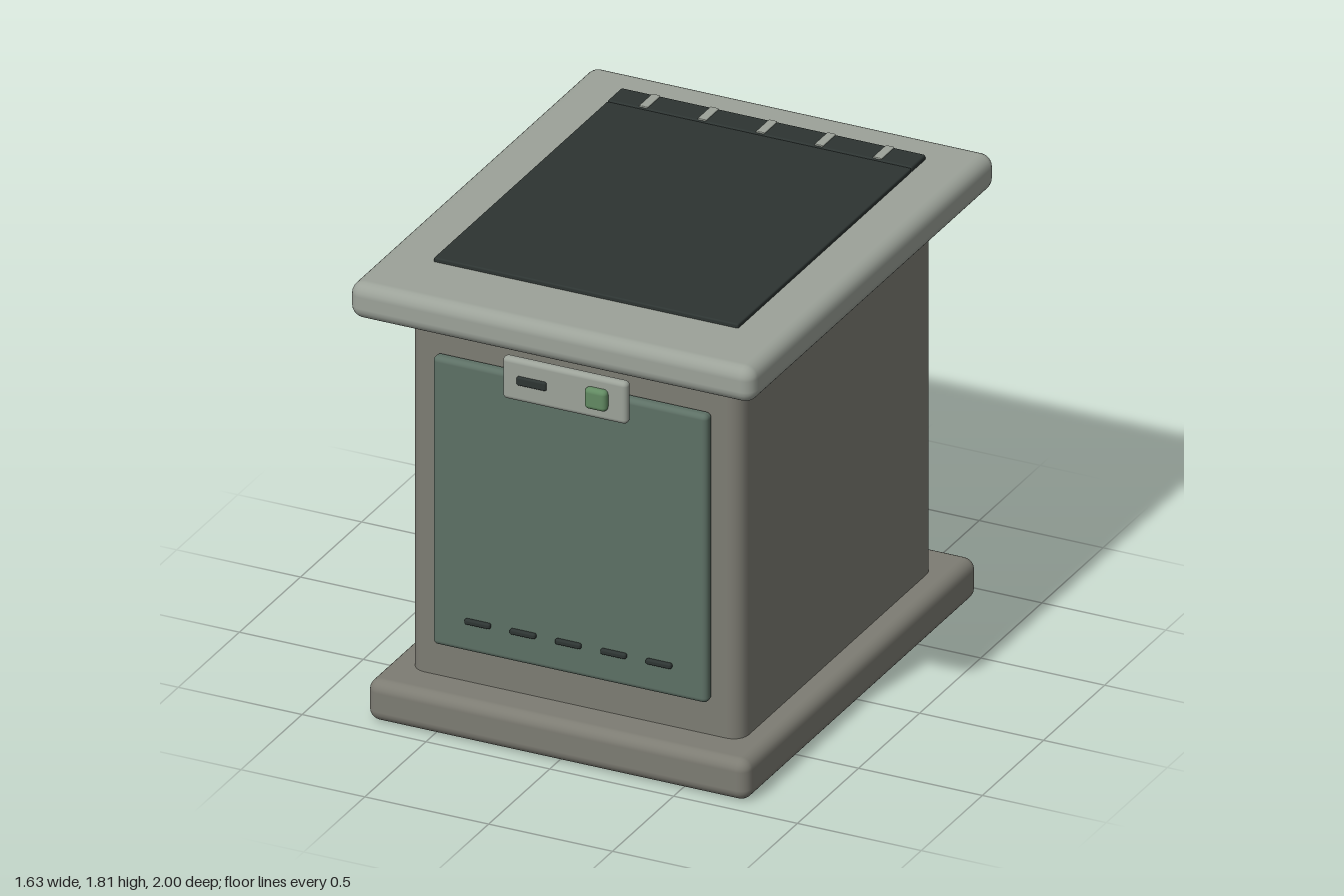
import * as THREE from 'three';
import { RoundedBoxGeometry } from 'three/addons/geometries/RoundedBoxGeometry.js';

const material = (color) => new THREE.MeshStandardMaterial({ color });

export function createModel() {
  const model = new THREE.Group();
  model.name = 'storageBin';

  const stone = material(0x7d7c73);
  const pale = material(0x9ca299);
  const doorGreen = material(0x5d7065);
  const dark = material(0x2d3432);
  const buttonGreen = material(0x628a62);

  // Rounded box given by its extents on each axis
  const block = (name, mat, [x0, x1], [y0, y1], [z0, z1], radius, parent = model) => {
    const mesh = new THREE.Mesh(new RoundedBoxGeometry(x1 - x0, y1 - y0, z1 - z0, 3, radius), mat);
    mesh.position.set((x0 + x1) / 2, (y0 + y1) / 2, (z0 + z1) / 2);
    mesh.name = name;
    parent.add(mesh);
    return mesh;
  };

  // Main housing: plinth, cabinet and floating lid
  block('base', stone, [-0.77, 0.77], [0, 0.165], [-0.945, 0.945], 0.045);
  block('cabinet', stone, [-0.67, 0.67], [0.1, 1.61], [-0.787, 0.79], 0.06);
  block('lid', pale, [-0.817, 0.817], [1.64, 1.785], [-1, 1], 0.05);

  // Front door with a row of vent slots
  const door = new THREE.Group();
  door.name = 'door';
  model.add(door);
  block('doorPanel', doorGreen, [-0.555, 0.555], [0.31, 1.475], [0.79, 0.84], 0.02, door);
  for (let i = -2; i <= 2; i++) {
    const x = i * 0.183;
    block('ventSlot', dark, [x - 0.052, x + 0.052], [0.428, 0.45], [0.838, 0.858], 0.008, door);
  }

  // Latch plate with slot and button
  const latch = new THREE.Group();
  latch.name = 'latch';
  model.add(latch);
  block('latchPlate', pale, [-0.252, 0.252], [1.39, 1.56], [0.843, 0.883], 0.018, latch);
  block('latchSlot', dark, [-0.19, -0.07], [1.46, 1.496], [0.875, 0.892], 0.008, latch);
  block('latchButton', buttonGreen, [0.09, 0.18], [1.435, 1.52], [0.872, 0.91], 0.018, latch);

  // Dark top panel and the hinge strip behind it
  block('topPanel', dark, [-0.615, 0.615], [1.775, 1.801], [-0.715, 0.705], 0.006);
  block('hingeStrip', dark, [-0.615, 0.615], [1.775, 1.804], [-0.832, -0.715], 0.008);
  for (let i = -2; i <= 2; i++) {
    const x = i * 0.236;
    block('hingeRib', pale, [x - 0.017, x + 0.017], [1.79, 1.809], [-0.828, -0.72], 0.003);
  }

  return model;
}
